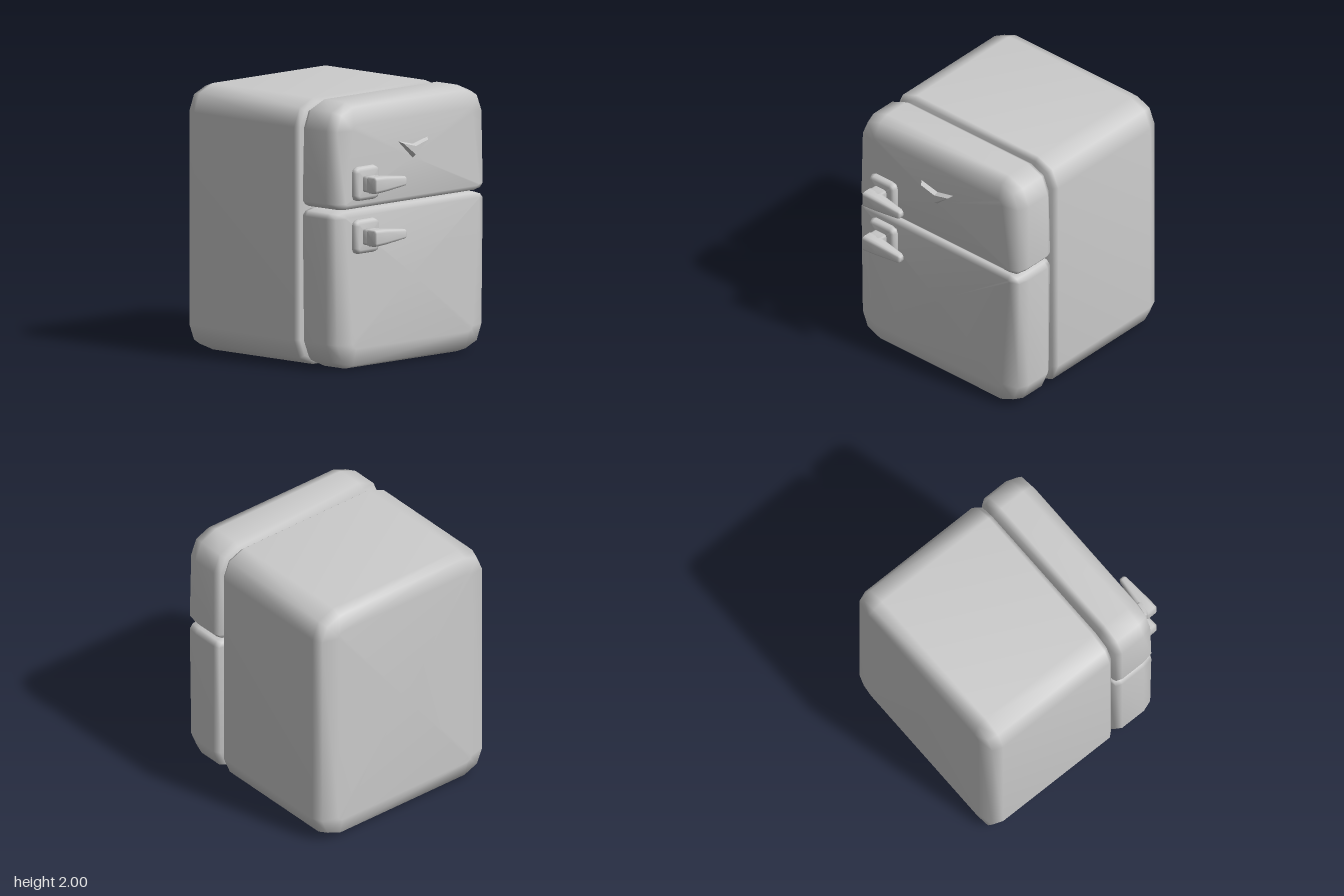
import * as THREE from 'three';

// Skin a list of rings (arrays of [x, y, z], anticlockwise seen from +z) and cap both ends.
function skin(rings, flat = false) {
  const n = rings[0].length, last = (rings.length - 1) * n;
  const pos = rings.flat(2), index = [];
  for (const ring of [rings[0], rings[rings.length - 1]]) {
    for (let k = 0; k < 3; k++) pos.push(ring.reduce((sum, p) => sum + p[k], 0) / n);
  }
  const backCentre = last + n, frontCentre = backCentre + 1;
  for (let i = 0; i < n; i++) {
    const j = (i + 1) % n;
    for (let s = 0; s < last; s += n) {
      index.push(s + i, s + j, s + n + j, s + i, s + n + j, s + n + i);
    }
    index.push(backCentre, j, i, frontCentre, last + i, last + j);
  }
  let geo = new THREE.BufferGeometry();
  geo.setAttribute('position', new THREE.Float32BufferAttribute(pos, 3));
  geo.setIndex(index);
  if (flat) geo = geo.toNonIndexed();
  geo.computeVertexNormals();
  return geo;
}

// Rounded rectangle ring; f shrinks it towards the fixed centres of its corners.
function roundedRing(z, f, { x0, x1, y0, y1, top, bottom }) {
  const corners = [
    [x1 - top[0], y1 - top[1], top], [x0 + top[0], y1 - top[1], top],
    [x0 + bottom[0], y0 + bottom[1], bottom], [x1 - bottom[0], y0 + bottom[1], bottom],
  ];
  const ring = [];
  corners.forEach(([cx, cy, r], c) => {
    for (let k = 0; k <= 2; k++) {
      const a = (c + k / 2) * Math.PI / 2;
      ring.push([cx + r[0] * f * Math.cos(a), cy + r[1] * f * Math.sin(a), z]);
    }
  });
  return ring;
}

const pillow = (rect, stations) => skin(stations.map(([z, f]) => roundedRing(z, f, rect)));

export function createModel() {
  const group = new THREE.Group();
  const material = new THREE.MeshStandardMaterial({ color: 0xcccccc });
  const add = (name, geometry, parent = group) => {
    const mesh = new THREE.Mesh(geometry, material);
    mesh.name = name;
    parent.add(mesh);
    return mesh;
  };
  const big = [0.2, 0.2], small = [0.11, 0.055];

  // Cabinet
  add('cabinet', pillow({ x0: -0.8, x1: 0.8, y0: 0, y1: 2, top: big, bottom: big },
    [[-0.89, 0.2], [-0.86, 0.85], [-0.78, 1], [0.25, 1], [0.285, 0.85], [0.3, 0.2]]));

  // Doors, with tight corners where they meet
  const doorSteps = [[0.305, 0.2], [0.325, 0.85], [0.37, 1], [0.58, 1], [0.665, 0.85], [0.7, 0.2]];
  add('freezerDoor', pillow(
    { x0: -0.8, x1: 0.8, y0: 1.202, y1: 2, top: big, bottom: small }, doorSteps));
  add('fridgeDoor', pillow(
    { x0: -0.8, x1: 0.8, y0: 0, y1: 1.198, top: small, bottom: big }, doorSteps));

  // Handles: mounting plate, stem and tapering lever
  const square = (cx, half, r) => ({
    x0: cx - half, x1: cx + half, y0: -half, y1: half, top: [r, r], bottom: [r, r],
  });
  // Lever stations: x, back z, front z, half height, corner radius
  const leverSteps = [
    [-0.585, 0.795, 0.88, 0.05, 0.015], [-0.575, 0.785, 0.89, 0.063, 0.025],
    [-0.46, 0.787, 0.885, 0.058, 0.025], [-0.245, 0.815, 0.872, 0.036, 0.018],
    [-0.228, 0.823, 0.862, 0.024, 0.012],
  ];
  for (const [name, y] of [['freezerHandle', 1.4], ['fridgeHandle', 1.003]]) {
    const handle = new THREE.Group();
    handle.name = name;
    handle.position.y = y;
    group.add(handle);
    add('handlePlate', pillow(square(-0.52, 0.128, 0.045),
      [[0.67, 1], [0.715, 1], [0.738, 0.8], [0.75, 0.3]]), handle);
    add('handleStem', pillow(square(-0.522, 0.06, 0.02), [[0.73, 1], [0.82, 1]]), handle);
    const lever = skin(leverSteps.map(([x, z0, z1, h, r]) => roundedRing(x, 1,
      { x0: -z1, x1: -z0, y0: -h, y1: h, top: [r, r], bottom: [r, r] })));
    add('handleLever', lever.rotateY(Math.PI / 2), handle);
  }

  // Bevelled chevron trim on the upper door
  const chevron = (z, w, top, tip, notch) => [[0, tip, z], [w, top, z], [0, notch, z], [-w, top, z]];
  add('chevronTrim', skin([
    chevron(0.68, 0.157, 1.672, 1.532, 1.636),
    chevron(0.7, 0.157, 1.672, 1.532, 1.636),
    chevron(0.735, 0.132, 1.655, 1.558, 1.622),
  ], true));

  return group;
}
